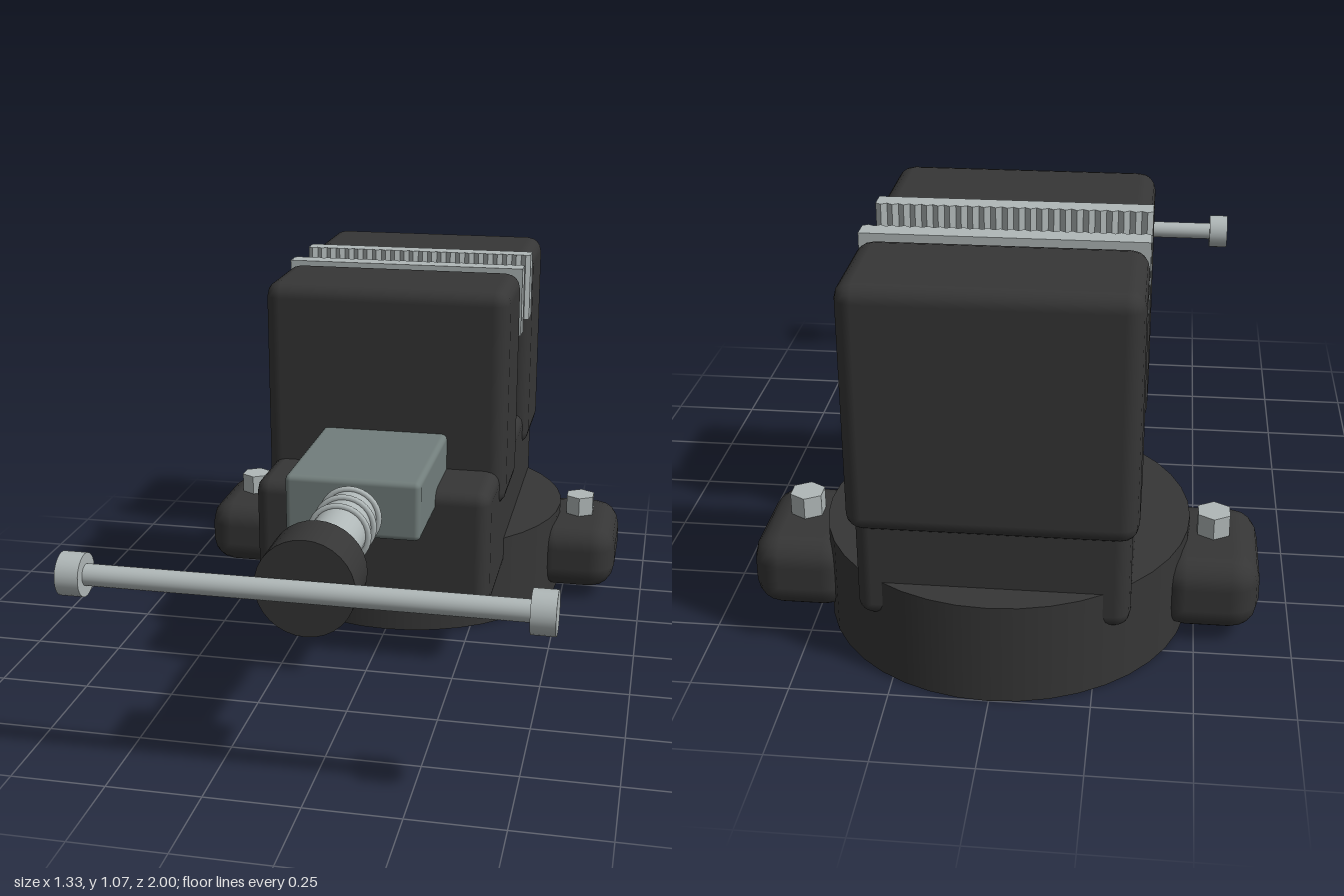
import * as THREE from 'three';
import { RoundedBoxGeometry } from 'three/addons/geometries/RoundedBoxGeometry.js';

const material = (name, color) => {
  const m = new THREE.MeshStandardMaterial({ color });
  m.name = name;
  return m;
};

export function createModel() {
  const black = material('black cast iron', 0x363636);
  const steel = material('bright steel', 0xb0b8b8);
  const grey = material('grey steel', 0x727e7c);
  const group = new THREE.Group();
  group.name = 'benchVise';

  const add = (name, geometry, mat, x = 0, y = 0, z = 0) => {
    const mesh = new THREE.Mesh(geometry, mat);
    mesh.name = name;
    mesh.position.set(x, y, z);
    group.add(mesh);
    return mesh;
  };
  // Rounded block given by its extents
  const block = (name, mat, x0, x1, y0, y1, z0, z1, r) =>
    add(name, new RoundedBoxGeometry(x1 - x0, y1 - y0, z1 - z0, 2, r), mat,
      (x0 + x1) / 2, (y0 + y1) / 2, (z0 + z1) / 2);
  // Cylinder along the z axis
  const rodZ = (name, mat, r, y, z0, z1) =>
    add(name, new THREE.CylinderGeometry(r, r, z1 - z0, 32).rotateX(Math.PI / 2), mat, 0, y, (z0 + z1) / 2);
  // Cylinder along the x axis
  const rodX = (name, mat, r, x0, x1, y, z) =>
    add(name, new THREE.CylinderGeometry(r, r, x1 - x0, 24).rotateZ(Math.PI / 2), mat, (x0 + x1) / 2, y, z);

  // Round swivel base with clamping lugs and bolts
  add('base', new THREE.CylinderGeometry(0.48, 0.48, 0.27, 40), black, 0, 0.135, -0.52);
  for (const [side, s] of [['left', 1], ['right', -1]]) {
    const lug = block(side + 'Lug', black, 0.4, 0.664, 0.03, 0.24, -0.72, -0.37, 0.075);
    lug.position.x *= s;
    const bolt = new THREE.CylinderGeometry(0.048, 0.048, 0.12, 6).toNonIndexed();
    bolt.computeVertexNormals();
    add(side + 'Bolt', bolt, steel, s * 0.542, 0.24, -0.54);
  }

  // Body and jaws
  block('body', black, -0.338, 0.338, 0.165, 0.535, -0.915, 0.18, 0.04);
  block('frontJaw', black, -0.354, 0.354, 0.42, 1.062, -0.33, -0.02, 0.045);
  block('backJaw', black, -0.354, 0.354, 0.42, 1.062, -0.945, -0.618, 0.045);

  // Jaw plates with vertical teeth on the gripping side
  const plateShape = new THREE.Shape();
  const teeth = 24, half = 0.355, step = 2 * half / teeth;
  plateShape.moveTo(-half, 0);
  plateShape.lineTo(half, 0);
  plateShape.lineTo(half, 0.054);
  for (let i = 0; i < teeth; i++) {
    plateShape.lineTo(half - (i + 0.5) * step, 0.064);
    plateShape.lineTo(half - (i + 1) * step, 0.054);
  }
  const plate = new THREE.ExtrudeGeometry(plateShape, { depth: 0.203, bevelEnabled: false });
  plate.rotateX(-Math.PI / 2);
  add('frontJawPlate', plate, steel, 0, 0.864, -0.334);
  add('backJawPlate', plate, steel, 0, 0.864, -0.614).rotation.y = Math.PI;

  // Slide bar and lead screw with thread rings
  block('slide', grey, -0.184, 0.184, 0.475, 0.64, -0.64, 0.42, 0.016);
  rodZ('screw', steel, 0.071, 0.545, 0.1, 0.82);
  for (let i = 0; i < 6; i++) {
    add('threadRing', new THREE.TorusGeometry(0.076, 0.009, 8, 32), steel, 0, 0.543, 0.57 - i * 0.066);
  }

  // Handle
  rodZ('screwHead', black, 0.123, 0.543, 0.797, 0.93);
  rodX('handleBar', steel, 0.027, -0.55, 0.55, 0.542, 0.945);
  rodX('leftHandleEnd', steel, 0.054, 0.535, 0.594, 0.542, 0.946);
  rodX('rightHandleEnd', steel, 0.054, -0.594, -0.535, 0.542, 0.946);

  return group;
}
